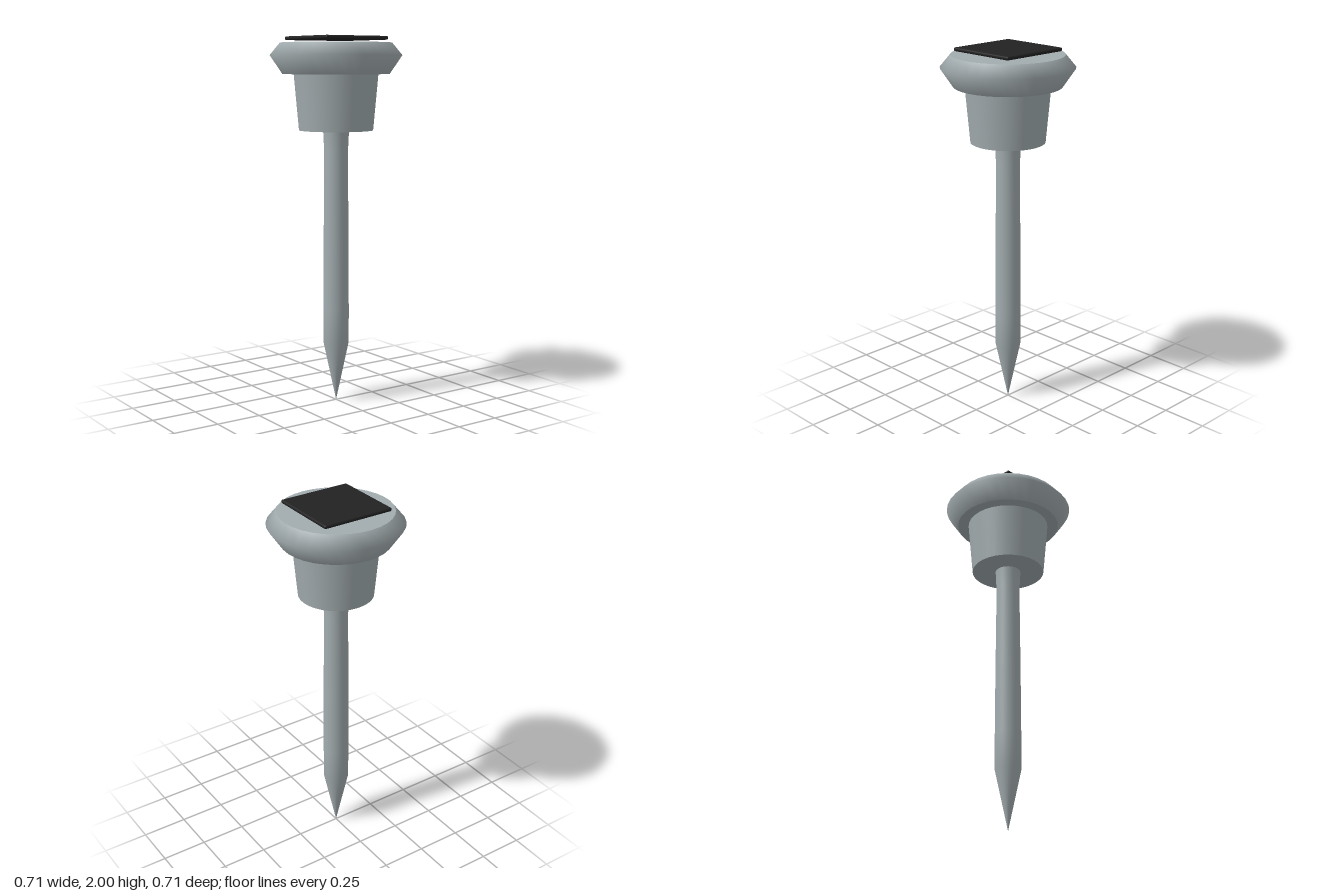
import * as THREE from 'three';
import { RoundedBoxGeometry } from 'three/addons/geometries/RoundedBoxGeometry.js';

const SIDES = 32;

export function createModel() {
  const model = new THREE.Group();
  model.name = 'solarGardenLight';

  const metal = new THREE.MeshStandardMaterial({ color: 0xa2acaf });
  metal.name = 'grey metal';
  const black = new THREE.MeshStandardMaterial({ color: 0x222222 });
  black.name = 'black panel';

  const add = (name, geometry, material, y = 0, parent = model) => {
    const mesh = new THREE.Mesh(geometry, material);
    mesh.name = name;
    mesh.position.y = y;
    parent.add(mesh);
    return mesh;
  };
  // Profile of [radius, height] pairs from bottom to top, turned about y
  const turn = (profile) =>
    new THREE.LatheGeometry(profile.map(([r, y]) => new THREE.Vector2(r, y)), SIDES);
  const disc = (radius, facing) =>
    new THREE.CircleGeometry(radius, SIDES).rotateX(-facing * Math.PI / 2);

  // Ground stake: pointed tip, slim shaft and slightly flared neck
  add('stake', turn([
    [0, 0], [0.07, 0.33], [0.07, 0.52], [0.068, 0.9],
    [0.064, 1.38], [0.07, 1.5],
  ]), metal);

  // Tapered cup under the head
  add('cup', new THREE.CylinderGeometry(0.227, 0.2, 0.3, SIDES), metal, 1.65);

  // Head: softly ridged rim closed by flat faces
  const head = new THREE.Group();
  head.name = 'head';
  model.add(head);
  add('headRim', turn([[0.287, 1.8], [0.355, 1.9], [0.3, 1.966]]), metal, 0, head);
  add('headTop', disc(0.3, 1), metal, 1.966, head);
  add('headUnderside', disc(0.287, -1), metal, 1.8, head);

  // Square solar panel hovering just above the head
  add('solarPanel', new RoundedBoxGeometry(0.4, 0.02, 0.4, 3, 0.009), black, 1.99);

  return model;
}
